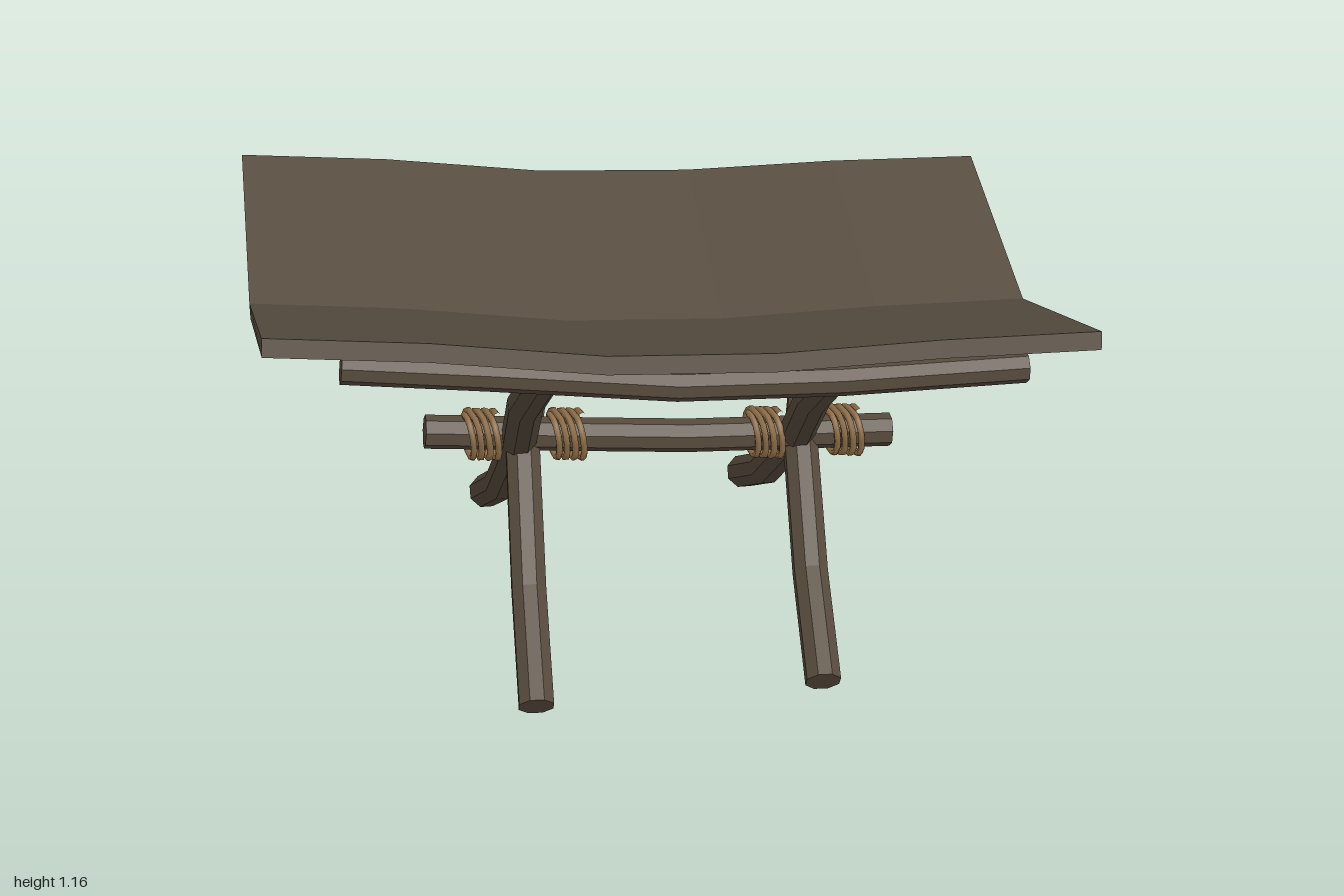
import * as THREE from 'three';

// Joins rings of points into a capped, faceted solid
function loft(rings) {
  const pos = [];
  const tri = (...pts) => pts.forEach((p) => pos.push(p.x, p.y, p.z));
  const n = rings[0].length;
  const last = rings[rings.length - 1];
  for (let i = 0; i < rings.length - 1; i++) {
    for (let j = 0; j < n; j++) {
      const k = (j + 1) % n;
      tri(rings[i][j], rings[i][k], rings[i + 1][k]);
      tri(rings[i][j], rings[i + 1][k], rings[i + 1][j]);
    }
  }
  for (let j = 1; j < n - 1; j++) {
    tri(rings[0][0], rings[0][j + 1], rings[0][j]);
    tri(last[0], last[j], last[j + 1]);
  }
  const g = new THREE.BufferGeometry();
  g.setAttribute('position', new THREE.Float32BufferAttribute(pos, 3));
  g.computeVertexNormals();
  return g;
}

// Eight-sided branch that follows a bent path
function branch(points, radius) {
  const path = points.map((p) => new THREE.Vector3(...p));
  return loft(path.map((p, i) => {
    const t = path[Math.min(i + 1, path.length - 1)].clone()
      .sub(path[Math.max(i - 1, 0)]).normalize();
    const u = Math.abs(t.x) > 0.7 ? new THREE.Vector3(0, 1, 0) : new THREE.Vector3(1, 0, 0);
    u.addScaledVector(t, -u.dot(t)).normalize();
    const v = t.clone().cross(u);
    return Array.from({ length: 8 }, (_, k) => {
      const a = ((k + 0.5) / 8) * Math.PI * 2;
      return p.clone().addScaledVector(u, Math.cos(a) * radius).addScaledVector(v, Math.sin(a) * radius);
    });
  }));
}

// Rope wound around the crossbar, slightly squared off
class Winding extends THREE.Curve {
  constructor(x, y) {
    super();
    this.x = x;
    this.y = y;
  }
  getPoint(t, target = new THREE.Vector3()) {
    const a = t * Math.PI * 8;
    const r = 0.057 + 0.006 * Math.abs(Math.sin(2 * a));
    return target.set(
      this.x + (t - 0.5) * 0.085 + 0.012 * Math.sin(a),
      this.y - (t - 0.5) * 0.01 + Math.cos(a) * r,
      Math.sin(a) * r
    );
  }
}

export function createModel() {
  const model = new THREE.Group();
  const seatWood = new THREE.MeshStandardMaterial({ color: 0x584e41 });
  seatWood.name = 'seatWood';
  const branchWood = new THREE.MeshStandardMaterial({ color: 0x574b3d });
  branchWood.name = 'branchWood';
  const rope = new THREE.MeshStandardMaterial({ color: 0x92714a });
  rope.name = 'rope';

  const add = (name, geometry, material) => {
    const mesh = new THREE.Mesh(geometry, material);
    mesh.name = name;
    model.add(mesh);
  };

  // V-shaped seat, sagging along x: [x, underside height of the fold, z bulge]
  const stations = [
    [-0.99, 0.905, 0], [-0.61, 0.865, 0.007], [-0.2, 0.802, 0.014],
    [0.2, 0.777, 0.014], [0.6, 0.777, 0.007], [0.99, 0.765, 0],
  ];
  add('seat', loft(stations.map(([x, y, b]) => [
    [-0.01, 0.043, b],
    [0.01, 0.265, 0.605 + b],
    [0.008, 0.223, 0.62 + b],
    [-0.01, 0, b],
    [0, 0.122, -0.632 - b / 4],
    [0, 0.162, -0.624 - b / 4],
  ].map(([dx, dy, z]) => new THREE.Vector3(x + dx, y + dy, z)))), seatWood);

  // Rails under the front and back wings
  add('frontRail', branch([
    [-0.8, 1.0, 0.46], [-0.45, 0.955, 0.465], [0, 0.895, 0.475], [0.4, 0.877, 0.475], [0.86, 0.873, 0.47],
  ], 0.04), branchWood);
  add('backRail', branch([
    [-0.8, 0.935, -0.49], [-0.45, 0.892, -0.495], [0, 0.83, -0.505], [0.4, 0.815, -0.505], [0.86, 0.812, -0.5],
  ], 0.04), branchWood);

  // Crossbar through the crossing of the legs
  add('crossbar', branch([
    [-0.58, 0.545, 0], [-0.2, 0.505, 0], [0.1, 0.478, 0.005], [0.64, 0.45, 0.005],
  ], 0.044), branchWood);

  // Two pairs of crossed legs: [side, x of crossing, lift of the upper parts]
  for (const [side, x, lift] of [['right', -0.335, 0.04], ['left', 0.395, 0]]) {
    add(side + 'FrontFootLeg', branch([
      [x - 0.03, 0.045, 0.545],
      [x - 0.015, 0.205 + lift * 0.4, 0.28],
      [x + 0.005, 0.44 + lift, 0.015],
      [x + 0.07, 0.63 + lift, -0.205],
      [x + 0.055, 0.86 + lift, -0.51],
    ], 0.047), branchWood);
    add(side + 'BackFootLeg', branch([
      [x - 0.05, 0.05, -0.5],
      [x - 0.025, 0.19 + lift * 0.4, -0.28],
      [x - 0.005, 0.44 + lift, -0.01],
      [x - 0.005, 0.68 + lift, 0.205],
      [x + 0.035, 0.9 + lift, 0.415],
    ], 0.047), branchWood);
  }

  // Rope lashings on both sides of each leg pair
  for (const [x, y] of [[-0.435, 0.525], [-0.215, 0.507], [0.305, 0.467], [0.515, 0.457]]) {
    add('lashing', new THREE.TubeGeometry(new Winding(x, y), 64, 0.009, 5, false), rope);
  }
  return model;
}
